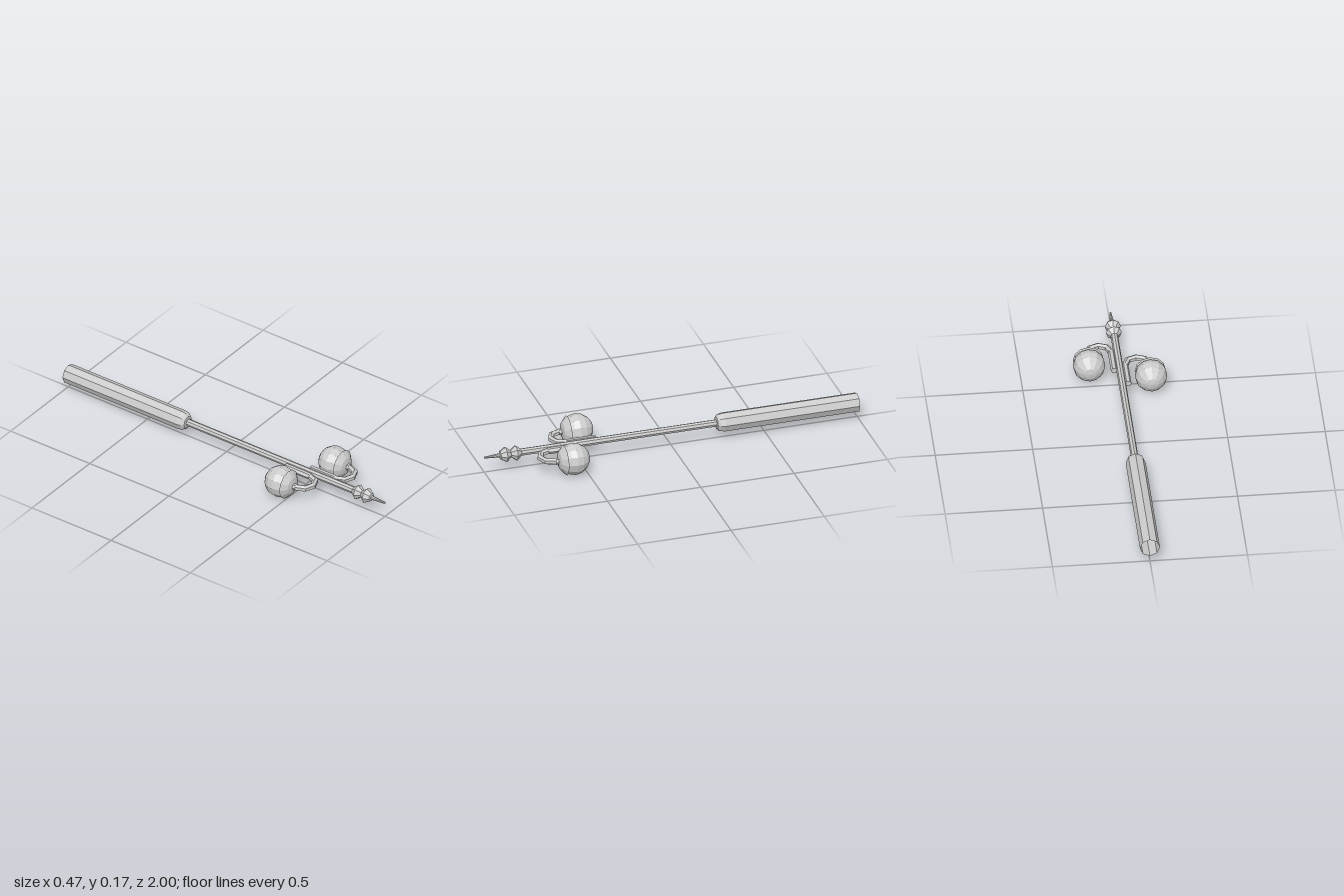
import * as THREE from 'three';

const AXIS_Y = 0.085;

const metal = new THREE.MeshStandardMaterial({ color: 0xcccccc, flatShading: true, side: THREE.DoubleSide });
metal.name = 'light grey metal';

function part(name, geometry, parent) {
  const mesh = new THREE.Mesh(geometry, metal);
  mesh.name = name;
  parent.add(mesh);
  return mesh;
}

// Turned form along z from [radius, z] pairs
function turned(profile, sides) {
  const points = profile.map(([r, z]) => new THREE.Vector2(r, z));
  return new THREE.LatheGeometry(points, sides).rotateX(Math.PI / 2);
}

// Straight six-sided rod along z
function rod(x, z0, z1, radius) {
  return new THREE.CylinderGeometry(radius, radius, z1 - z0, 6, 1, false, Math.PI / 2)
    .rotateX(Math.PI / 2)
    .translate(x, 0, (z0 + z1) / 2);
}

// Hooked arm carrying a globe; side is +1 for left, -1 for right
function lampArm(name, side, shift) {
  const arm = new THREE.Group();
  arm.name = name;
  arm.position.z = shift;
  const inner = side * 0.03, outer = side * 0.153, r = 0.017, bendZ = 0.666;

  part('armStem', rod(inner, 0.51, bendZ, r), arm);
  const bend = new THREE.CubicBezierCurve3(
    new THREE.Vector3(inner, 0, bendZ),
    new THREE.Vector3(inner, 0, bendZ + 0.082),
    new THREE.Vector3(outer, 0, bendZ + 0.082),
    new THREE.Vector3(outer, 0, bendZ));
  part('armBend', new THREE.TubeGeometry(bend, 4, r, 6), arm);
  part('armTip', rod(outer, 0.64, bendZ, r), arm);

  const globe = part('globe', new THREE.SphereGeometry(0.083, 12, 8).rotateX(Math.PI / 2), arm);
  globe.position.set(outer, 0, 0.569);
  const cup = part('globeCup', turned([[0.064, 0.613], [0.079, 0.617], [0.046, 0.645], [0, 0.656]], 12), arm);
  cup.position.x = outer;
  return arm;
}

export function createModel() {
  const model = new THREE.Group();
  model.name = 'streetLamp';
  const lamp = new THREE.Group();
  lamp.name = 'lampPost';
  lamp.position.y = AXIS_Y;
  model.add(lamp);

  // Thick base sleeve, open at the back end
  part('base', turned([[0.051, -1], [0.051, -0.28], [0.046, -0.258], [0.034, -0.245], [0.018, -0.243]], 8), lamp);
  part('shaft', turned([[0.019, -0.25], [0.019, 0.81]], 8), lamp);

  // Double-beaded finial with a spike
  part('finial', turned([
    [0.019, 0.803], [0.041, 0.83], [0.019, 0.858],
    [0.041, 0.885], [0.022, 0.914], [0.011, 0.917], [0.005, 1], [0, 1],
  ], 8), lamp);

  lamp.add(lampArm('leftArm', 1, 0), lampArm('rightArm', -1, -0.116));
  return model;
}
